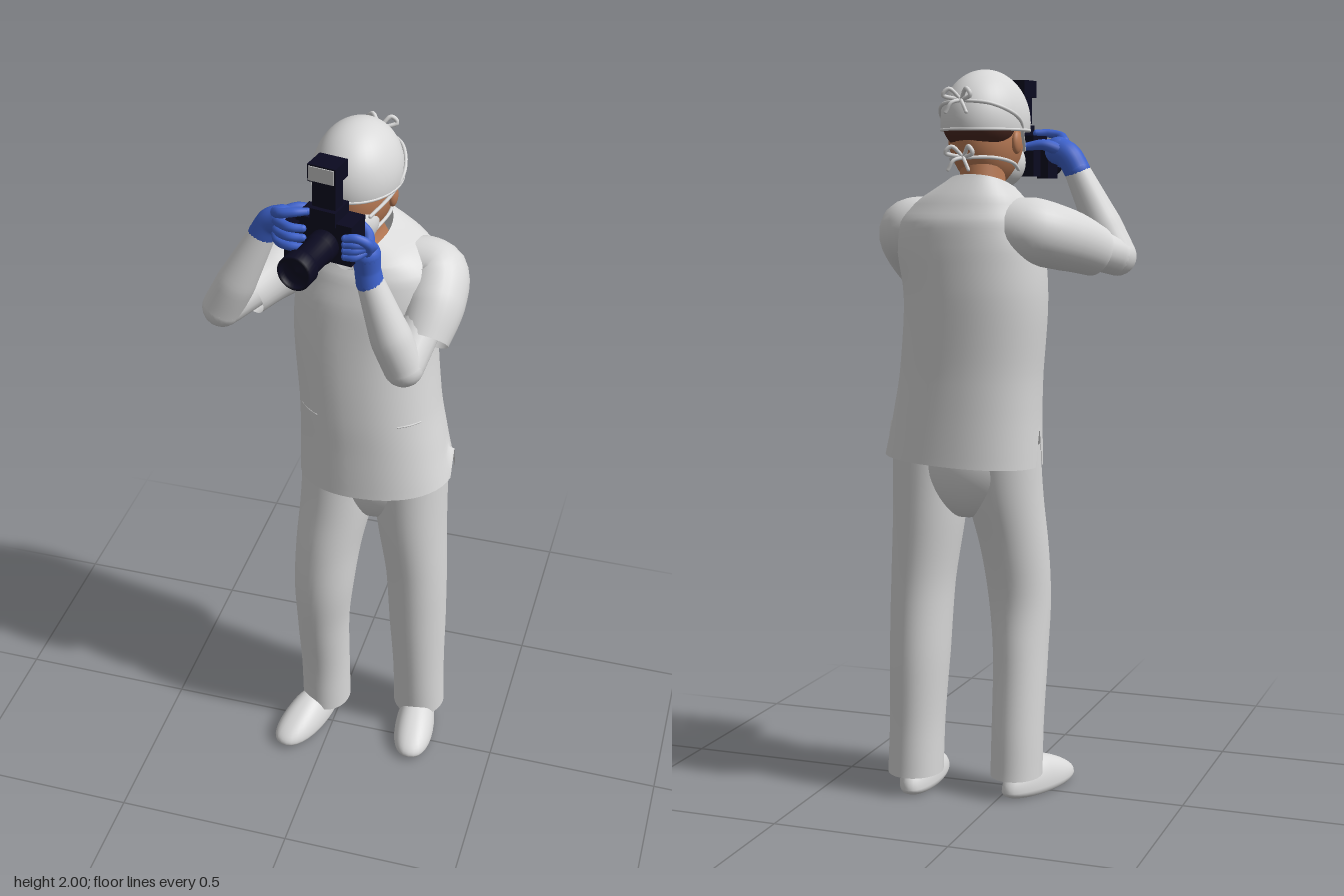
import * as THREE from 'three';
import { mergeVertices, mergeGeometries } from 'three/addons/utils/BufferGeometryUtils.js';

const mat = (name, color, side = THREE.FrontSide) => {
  const m = new THREE.MeshStandardMaterial({ color, side });
  m.name = name;
  return m;
};
const V = (x, y, z) => new THREE.Vector3(x, y, z);

function add(parent, name, geo, material, x = 0, y = 0, z = 0) {
  const mesh = new THREE.Mesh(geo, material);
  mesh.name = name;
  mesh.position.set(x, y, z);
  parent.add(mesh);
  return mesh;
}

function smooth(geo) {
  geo.deleteAttribute('uv');
  geo.deleteAttribute('normal');
  const g = mergeVertices(geo, 1e-5);
  g.computeVertexNormals();
  return g;
}

// Tube through [x, y, z, radius] points, with optional round ends
function limb(pts, round = true, sides = 18) {
  const curve = new THREE.CatmullRomCurve3(pts.map(p => V(p[0], p[1], p[2])));
  const seg = pts.length * 6, n = pts.length - 1;
  const geo = new THREE.TubeGeometry(curve, seg, 1, sides);
  const pos = geo.attributes.position, nor = geo.attributes.normal;
  const p = V(), q = V();
  for (let i = 0; i < pos.count; i++) {
    const t = curve.getUtoTmapping(Math.floor(i / (sides + 1)) / seg) * n;
    const k = Math.min(Math.floor(t), n - 1);
    const r = THREE.MathUtils.lerp(pts[k][3], pts[k + 1][3], t - k);
    p.fromBufferAttribute(pos, i);
    q.fromBufferAttribute(nor, i);
    p.addScaledVector(q, r - 1);
    pos.setXYZ(i, p.x, p.y, p.z);
  }
  const parts = [smooth(geo)];
  if (round) for (const e of [pts[0], pts[n]]) {
    const s = new THREE.SphereGeometry(e[3], sides, 12);
    s.deleteAttribute('uv');
    parts.push(s.translate(e[0], e[1], e[2]));
  }
  return mergeGeometries(parts);
}

// Smooth skin over rings [y, centreX, centreZ, radiusX, radiusZ], bottom to top
const bulge = (v, e) => Math.sign(v) * Math.pow(Math.abs(v), e);
function loft(rings, { sides = 40, steps = 5, power = 1, rule } = {}) {
  const centre = new THREE.CatmullRomCurve3(rings.map(r => V(r[1], r[0], r[2])));
  const radius = new THREE.CatmullRomCurve3(rings.map(r => V(r[3], 0, r[4])));
  const rows = (rings.length - 1) * steps, pos = [], idx = [];
  for (let i = 0; i <= rows; i++) {
    const c = centre.getPoint(i / rows), r = radius.getPoint(i / rows);
    for (let j = 0; j < sides; j++) {
      const a = j / sides * Math.PI * 2;
      const v = V(c.x + r.x * bulge(Math.cos(a), power), c.y, c.z + r.z * bulge(Math.sin(a), power));
      if (rule) rule(v, a, j, i / rows);
      pos.push(v.x, v.y, v.z);
      if (i < rows) {
        const k = i * sides + j, l = i * sides + (j + 1) % sides;
        idx.push(k, k + sides, l, l, k + sides, l + sides);
      }
    }
  }
  const g = new THREE.BufferGeometry();
  g.setAttribute('position', new THREE.Float32BufferAttribute(pos, 3));
  g.setIndex(idx);
  g.computeVertexNormals();
  return g;
}

const ball = (rx, ry, rz) => new THREE.SphereGeometry(1, 32, 24).scale(rx, ry, rz);

export function createModel() {
  const root = new THREE.Group();
  root.name = 'photographer';
  const fabric = mat('white fabric', 0xd9d9d9, THREE.DoubleSide);
  const skin = mat('skin', 0xb87a55);
  const hairMat = mat('dark brown hair', 0x4a2820);
  const glove = mat('blue glove', 0x3d62cc);
  const black = mat('navy black plastic', 0x0b0a20);
  const panel = mat('flash panel', 0xc8c8c8);

  // Trousers
  add(root, 'leftTrouserLeg', loft([
    [0.06, 0.245, -0.12, 0.077, 0.086], [0.2, 0.242, -0.112, 0.076, 0.09], [0.4, 0.235, -0.105, 0.083, 0.1],
    [0.6, 0.228, -0.095, 0.088, 0.103], [0.8, 0.21, -0.09, 0.1, 0.115], [1.0, 0.2, -0.09, 0.108, 0.122]]), fabric);
  add(root, 'rightTrouserLeg', loft([
    [0.06, -0.035, -0.06, 0.072, 0.083], [0.2, -0.036, -0.052, 0.072, 0.082], [0.4, -0.036, -0.028, 0.076, 0.088],
    [0.55, -0.03, -0.016, 0.086, 0.092], [0.7, -0.02, -0.032, 0.094, 0.102], [0.85, -0.002, -0.06, 0.105, 0.112],
    [1.0, 0.008, -0.085, 0.113, 0.12]]), fabric);
  add(root, 'trouserSeat', ball(0.19, 0.17, 0.122), fabric, 0.1, 0.96, -0.09);

  // Shoes: a ball with a flat sole and a lower toe
  for (const [name, x, z, yaw] of [['leftShoe', 0.253, -0.045, 0.1], ['rightShoe', -0.072, 0.015, -0.32]]) {
    const g = ball(1, 1, 1), p = g.attributes.position;
    for (let i = 0; i < p.count; i++) {
      const px = p.getX(i), py = p.getY(i), pz = p.getZ(i);
      const h = py > 0 ? py * 0.08 * (1 - 0.4 * Math.max(pz, 0)) : Math.max(py * 0.035, -0.02);
      p.setXYZ(i, bulge(px, 0.85) * 0.058 * (1 + 0.15 * pz), 0.02 + h, pz * 0.148);
    }
    add(root, name, smooth(g), fabric, x, 0, z).rotation.y = yaw;
  }

  // Tunic with side slits, a sloping hem and a V neck
  add(root, 'tunic', loft([
    [0.955, 0.105, -0.095, 0.218, 0.175], [1.08, 0.092, -0.1, 0.204, 0.171], [1.2, 0.078, -0.105, 0.195, 0.168],
    [1.4, 0.06, -0.12, 0.195, 0.163], [1.52, 0.07, -0.127, 0.2, 0.158], [1.6, 0.075, -0.135, 0.186, 0.148],
    [1.655, 0.06, -0.137, 0.145, 0.125], [1.695, 0.035, -0.133, 0.085, 0.1]], {
    sides: 48, power: 0.9, rule(v, a, j, t) {
      if (t < 0.1) v.y += (0.1 - t) * 0.6 * (v.x - 0.1);
      if (j % 24 === 0 && v.y < 1.05) v.y = 1.05;
      const s = Math.sin(a), k = Math.max(0, (t - 0.8) / 0.2);
      v.y += k * (s > 0 ? -0.02 * s - 0.05 * s ** 6 : -0.03 * s);
      v.z += k * 0.035 * Math.max(0, s) ** 4;
    } }), fabric);
  for (const [name, a0] of [['leftPocketEdge', 0.6], ['rightPocketEdge', 2.15]]) {
    const pts = [0, 0.2, 0.4].map(d => [0.08 + 0.195 * bulge(Math.cos(a0 + d), 0.9), 1.185,
      -0.105 + 0.168 * bulge(Math.sin(a0 + d), 0.9), 0.003]);
    add(root, name, limb(pts, true, 6), fabric);
  }

  // Arms: short outer sleeve, upper arm, forearm
  const arms = {
    left: {
      sleeve: [[0.17, 1.6, -0.145, 0.07], [0.24, 1.575, -0.13, 0.088], [0.254, 1.52, -0.065, 0.083], [0.245, 1.45, 0.003, 0.068]],
      upper: [[0.25, 1.54, -0.08, 0.06], [0.212, 1.408, 0.075, 0.054]],
      fore: [[0.212, 1.408, 0.075, 0.054], [0.178, 1.5, 0.085, 0.055], [0.118, 1.665, 0.085, 0.034]]
    },
    right: {
      sleeve: [[-0.02, 1.58, -0.16, 0.08], [-0.11, 1.575, -0.15, 0.09], [-0.185, 1.55, -0.07, 0.082], [-0.235, 1.52, 0.012, 0.068]],
      upper: [[-0.18, 1.55, -0.07, 0.06], [-0.278, 1.505, 0.074, 0.053]],
      fore: [[-0.278, 1.505, 0.074, 0.053], [-0.235, 1.59, 0.076, 0.052], [-0.16, 1.745, 0.066, 0.034]]
    }
  };
  for (const [side, arm] of Object.entries(arms)) {
    add(root, side + 'Sleeve', limb(arm.sleeve, false, 28), fabric);
    add(root, side + 'UpperArm', limb(arm.upper), fabric);
    add(root, side + 'Forearm', limb(arm.fore, true, 24), fabric);
  }

  // Gloved hands: cuff and palm in one tube, then thumb and four fingers
  const hands = {
    left: {
      palm: [[0.122, 1.652, 0.086, 0.036], [0.116, 1.69, 0.087, 0.034], [0.113, 1.735, 0.092, 0.037]],
      fingers: [0, 1, 2, 3].map(i => [[0.122, 1.735 + i * 0.007, 0.075 + i * 0.014, 0.014],
        [0.13, 1.765 + i * 0.008, 0.105 + i * 0.011, 0.013], [0.1, 1.755 + i * 0.017, 0.148, 0.012],
        [0.075, 1.752 + i * 0.017, 0.15, 0.01]]),
      thumb: [[0.11, 1.72, 0.065, 0.017], [0.105, 1.76, 0.04, 0.014], [0.08, 1.79, 0.035, 0.011]]
    },
    right: {
      palm: [[-0.166, 1.735, 0.066, 0.036], [-0.14, 1.775, 0.068, 0.036], [-0.108, 1.79, 0.078, 0.038]],
      fingers: [0, 1, 2, 3].map(i => [[-0.12, 1.815 - i * 0.018, 0.09, 0.015],
        [-0.1, 1.83 - i * 0.024, 0.118 + i * 0.004, 0.013], [-0.065, 1.838 - i * 0.026, 0.118 + (i ? 0.03 : 0), 0.012],
        [-0.035, 1.838 - i * 0.026, 0.105 + (i ? 0.04 : 0), 0.01]]),
      thumb: [[-0.12, 1.79, 0.055, 0.018], [-0.08, 1.805, 0.035, 0.015], [-0.035, 1.8, 0.022, 0.011]]
    }
  };
  for (const [side, hand] of Object.entries(hands)) {
    const g = new THREE.Group();
    g.name = side + 'Glove';
    root.add(g);
    add(g, 'palm', limb(hand.palm), glove);
    add(g, 'thumb', limb(hand.thumb, true, 10), glove);
    hand.fingers.forEach((f, i) => add(g, 'finger' + (i + 1), limb(f, true, 10), glove));
  }

  // Neck and head
  add(root, 'neck', loft([[1.58, 0.035, -0.13, 0.095, 0.125], [1.64, 0.035, -0.13, 0.082, 0.105],
    [1.7, 0.037, -0.128, 0.06, 0.068], [1.8, 0.04, -0.12, 0.058, 0.062]]), skin);
  const head = new THREE.Group();
  head.name = 'head';
  head.position.set(0.04, 0, -0.095);
  head.rotation.y = -0.12;
  root.add(head);
  add(head, 'face', ball(0.092, 0.125, 0.118), skin, 0, 1.815, 0.006);
  add(head, 'hair', ball(0.1, 0.085, 0.088), hairMat, 0, 1.862, -0.04);
  add(head, 'nose', ball(0.014, 0.024, 0.018), skin, 0, 1.81, 0.12);
  add(head, 'mask', ball(0.08, 0.072, 0.076), fabric, 0, 1.757, 0.063);
  const cap = new THREE.SphereGeometry(1, 36, 20, 0, Math.PI * 2, 0, 1.72).scale(0.114, 0.14, 0.142);
  add(head, 'cap', cap, fabric, 0, 1.86, 0);
  const brim = new THREE.TorusGeometry(1, 0.03, 8, 40).rotateX(Math.PI / 2).scale(0.112, 0.13, 0.14);
  add(head, 'capEdge', brim, fabric, 0, 1.841, 0);

  // Ears, mask straps and tied ends, mirrored
  for (const s of [1, -1]) {
    add(head, 'ear', ball(0.012, 0.03, 0.02), skin, s * 0.094, 1.808, -0.005);
    add(head, 'upperStrap', limb([[s * 0.07, 1.79, 0.09, 0.005], [s * 0.1, 1.825, 0.02, 0.005],
      [s * 0.114, 1.87, -0.03, 0.005], [s * 0.075, 1.905, -0.105, 0.005], [0, 1.915, -0.14, 0.005]], true, 8), fabric);
    add(head, 'lowerStrap', limb([[s * 0.07, 1.735, 0.06, 0.005], [s * 0.084, 1.757, -0.015, 0.005],
      [s * 0.062, 1.768, -0.08, 0.005], [0, 1.768, -0.128, 0.005]], true, 8), fabric);
    for (const [y, z] of [[1.915, -0.14], [1.768, -0.128]]) {
      add(head, 'bowLoop', limb([[0, y, z, 0.005], [s * 0.025, y + 0.028, z - 0.02, 0.006],
        [s * 0.04, y + 0.012, z - 0.025, 0.006], [0, y, z, 0.005]], true, 8), fabric);
      add(head, 'bowEnd', limb([[0, y, z, 0.005], [s * 0.016, y - 0.008, z - 0.025, 0.005],
        [s * 0.03, y - 0.032, z - 0.03, 0.005]], true, 8), fabric);
    }
  }

  // Camera with long lens and flash
  const camera = new THREE.Group();
  camera.name = 'camera';
  camera.position.set(0.02, 1.775, 0.09);
  camera.rotation.y = -0.19;
  root.add(camera);
  const boxes = [['body', 0.155, 0.11, 0.075, 0, 0, 0], ['grip', 0.035, 0.1, 0.055, -0.083, -0.01, 0.03],
    ['prism', 0.07, 0.04, 0.075, 0, 0.065, 0.005], ['eyepiece', 0.04, 0.03, 0.02, 0, 0.05, -0.04],
    ['hotShoe', 0.04, 0.015, 0.035, 0, 0.09, 0.012], ['flashStem', 0.064, 0.075, 0.04, 0, 0.126, 0.014],
    ['flashHead', 0.076, 0.046, 0.066, 0, 0.183, 0.014]];
  for (const [name, w, h, d, x, y, z] of boxes) add(camera, name, new THREE.BoxGeometry(w, h, d), black, x, y, z);
  add(camera, 'flashPanel', new THREE.BoxGeometry(0.068, 0.038, 0.004), panel, 0, 0.183, 0.048);
  const barrel = [[0, 0.03], [0.041, 0.03], [0.041, 0.07], [0.038, 0.072], [0.038, 0.155], [0.046, 0.157],
    [0.046, 0.196], [0.038, 0.196], [0.036, 0.18], [0, 0.186]].map(p => new THREE.Vector2(...p));
  const lens = new THREE.LatheGeometry(barrel, 32).rotateX(Math.PI / 2);
  add(camera, 'lens', lens, black, 0.002, -0.01, 0);
  return root;
}
